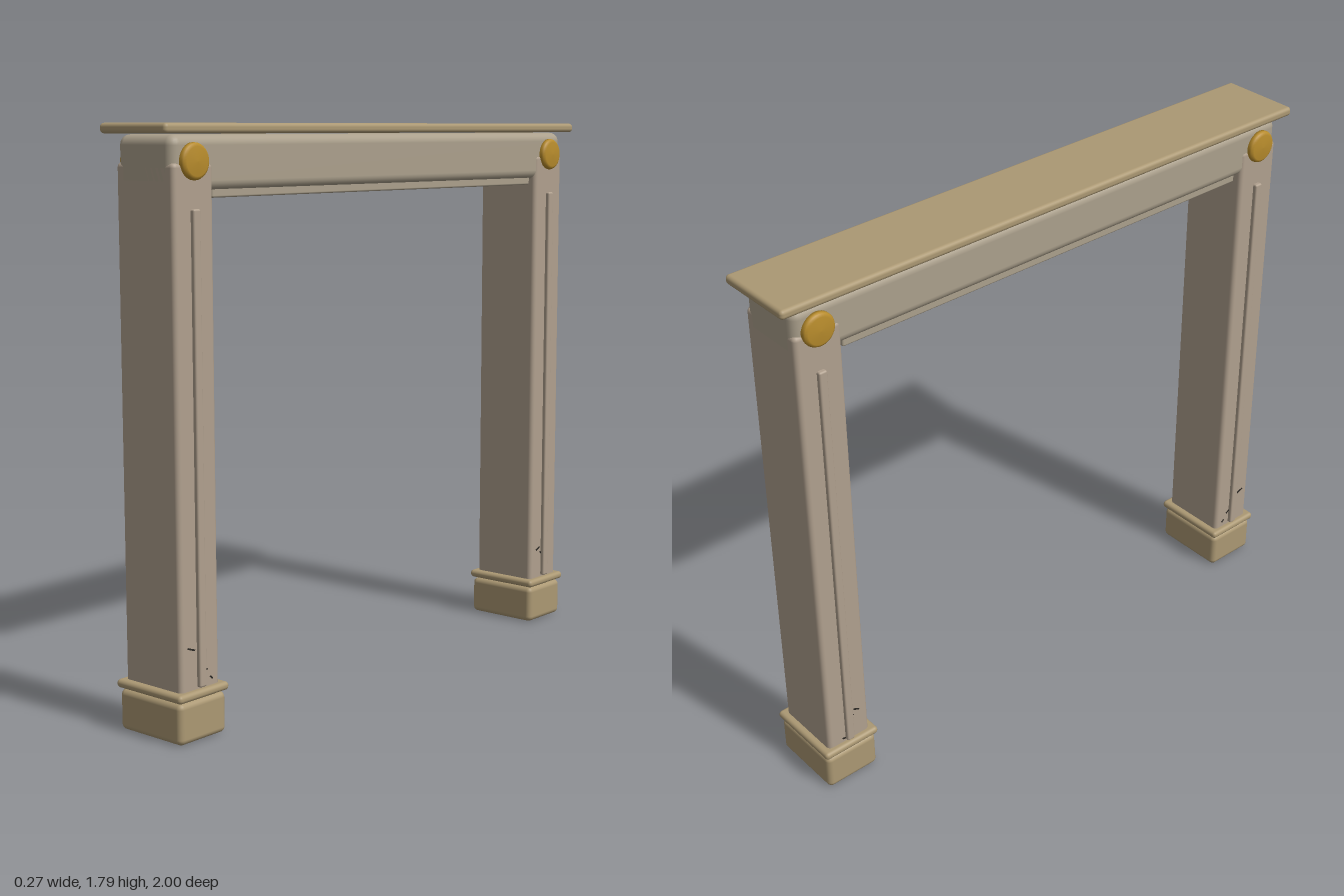
import * as THREE from 'three';
import { RoundedBoxGeometry } from 'three/addons/geometries/RoundedBoxGeometry.js';

const material = (color) => new THREE.MeshStandardMaterial({ color });

export function createModel() {
  const model = new THREE.Group();
  const stone = material(0xb0a08e);
  const beamStone = material(0xaba08c);
  const trim = material(0xab9873);
  const gold = material(0xb88c2c);
  const dark = material(0x2b2824);

  // Rounded block given by its size, centre and edge radius
  function block(name, [w, h, d], [x, y, z], radius, mat, parent = model) {
    const mesh = new THREE.Mesh(new RoundedBoxGeometry(w, h, d, 3, radius), mat);
    mesh.name = name;
    mesh.position.set(x, y, z);
    parent.add(mesh);
    return mesh;
  }

  // Lintel with its cap slab and the strip under it
  block('beam', [0.23, 0.16, 1.91], [0, 1.678, 0], 0.03, beamStone);
  block('capSlab', [0.274, 0.03, 2], [0, 1.775, 0], 0.012, trim);
  block('beamUnderStrip', [0.2, 0.034, 1.57], [0, 1.595, 0], 0.006, beamStone);

  // Domed disc profile, from the rim to the centre
  const discProfile = [[0, 0], [0.053, 0], [0.053, 0.014], [0.05, 0.02], [0.042, 0.025], [0, 0.027]]
    .map(([r, y]) => new THREE.Vector2(r, y));
  const discGeometry = new THREE.LatheGeometry(discProfile, 32);

  // Small cracks near the foot: offset from post centre, height, length, tilt
  const cracks = {
    '1': [[0.037, 0.279, 0.03, 0.35], [-0.02, 0.21, 0.016, 0.6], [-0.043, 0.178, 0.013, 0.7]],
    '-1': [[0.034, 0.262, 0.022, -0.45], [0.016, 0.245, 0.012, 0.6], [-0.014, 0.167, 0.024, -0.3]],
  };

  for (const end of [1, -1]) {
    const post = new THREE.Group();
    post.name = end > 0 ? 'frontPost' : 'backPost';
    post.position.z = end * 0.876;
    model.add(post);

    block('shaft', [0.236, 1.56, 0.158], [0, 0.9, 0], 0.015, stone, post);
    block('foot', [0.26, 0.126, 0.19], [0, 0.063, 0], 0.018, trim, post);
    block('footMoulding', [0.274, 0.026, 0.204], [0, 0.142, 0], 0.012, trim, post);

    for (const side of [1, -1]) {
      block('sideRib', [0.03, 1.39, 0.028], [side * 0.117, 0.855, 0], 0.006, stone, post);

      const disc = new THREE.Mesh(discGeometry, gold);
      disc.name = 'cornerDisc';
      disc.rotation.z = -side * Math.PI / 2;
      disc.position.set(side * 0.11, 1.683, 0);
      post.add(disc);

      for (const [z, y, length, tilt] of cracks[end]) {
        const crack = new THREE.Mesh(new THREE.BoxGeometry(0.004, 0.005, length), dark);
        crack.name = 'crack';
        crack.position.set(side * 0.118, y, z);
        crack.rotation.x = -tilt;
        post.add(crack);
      }
    }
  }
  return model;
}
